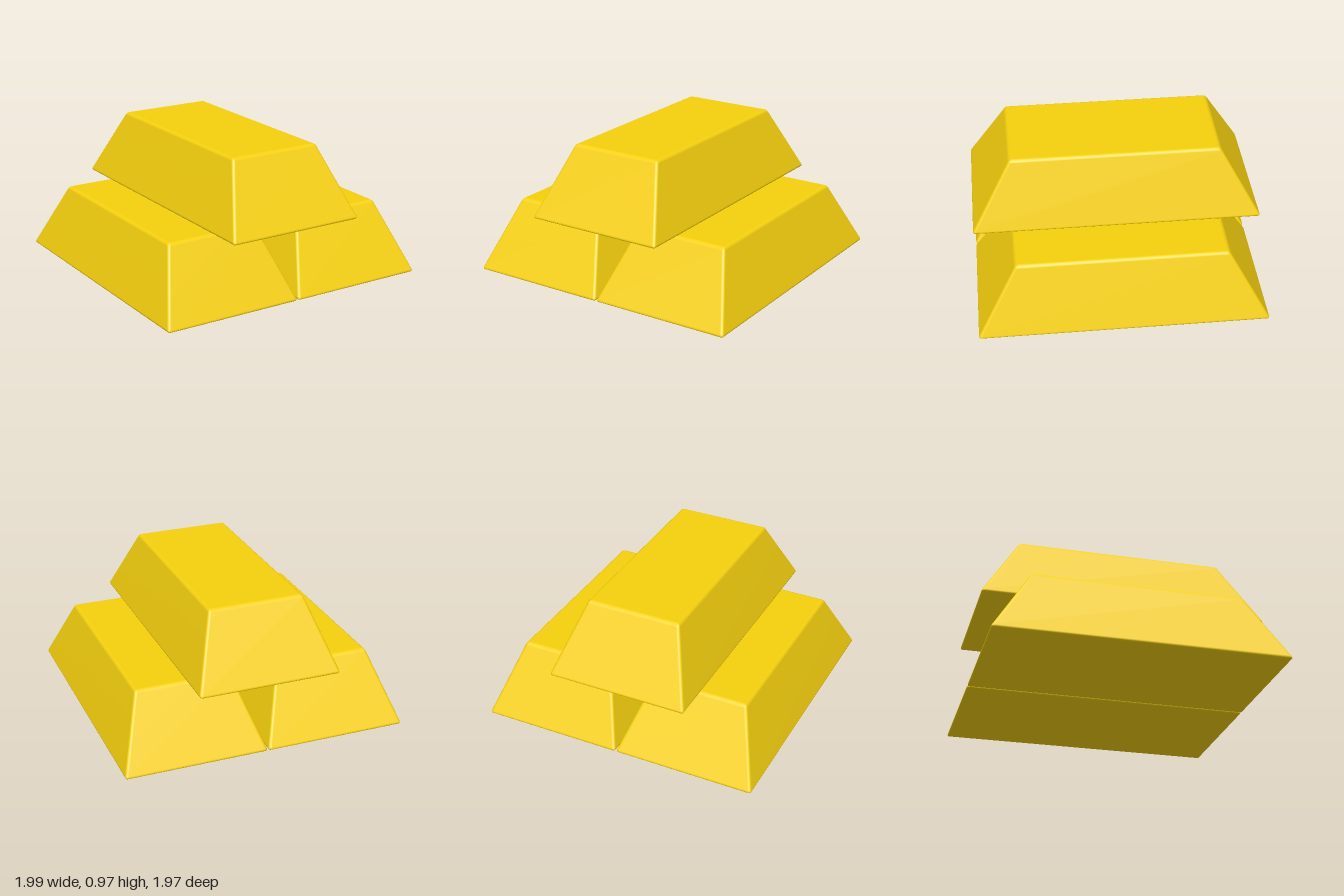
import * as THREE from 'three';
import { RoundedBoxGeometry } from 'three/addons/geometries/RoundedBoxGeometry.js';
import { mergeVertices } from 'three/addons/utils/BufferGeometryUtils.js';

const WIDTH = 1, HEIGHT = 0.485, DEPTH = 1.99;
const INSET_X = 0.167, INSET_Z = 0.28; // how far the sides lean in at the top

// Rounded bar whose four sides lean inward towards the top
function ingotGeometry() {
  const box = new RoundedBoxGeometry(WIDTH, HEIGHT, DEPTH, 3, 0.02);
  box.deleteAttribute('uv');
  box.deleteAttribute('normal');
  box.clearGroups();
  const geometry = mergeVertices(box, 1e-5);
  const p = geometry.attributes.position;
  for (let i = 0; i < p.count; i++) {
    const t = p.getY(i) / HEIGHT + 0.5;
    p.setX(i, p.getX(i) - Math.sign(p.getX(i)) * INSET_X * t);
    p.setZ(i, p.getZ(i) - Math.sign(p.getZ(i)) * INSET_Z * t);
  }
  geometry.translate(0, HEIGHT / 2, 0);
  geometry.computeVertexNormals();
  return geometry;
}

export function createModel() {
  const model = new THREE.Group();
  model.name = 'ingotStack';
  const gold = new THREE.MeshStandardMaterial({ color: 0xf5d00e });
  const geometry = ingotGeometry();

  // Two bars side by side, a third resting across the seam
  const bars = [
    ['lowerLeftIngot', 0.5, 0],
    ['lowerRightIngot', -0.5, 0],
    ['upperIngot', -0.013, HEIGHT + 0.002],
  ];
  for (const [name, x, y] of bars) {
    const bar = new THREE.Mesh(geometry, gold);
    bar.name = name;
    bar.position.set(x, y, 0);
    model.add(bar);
  }
  return model;
}
